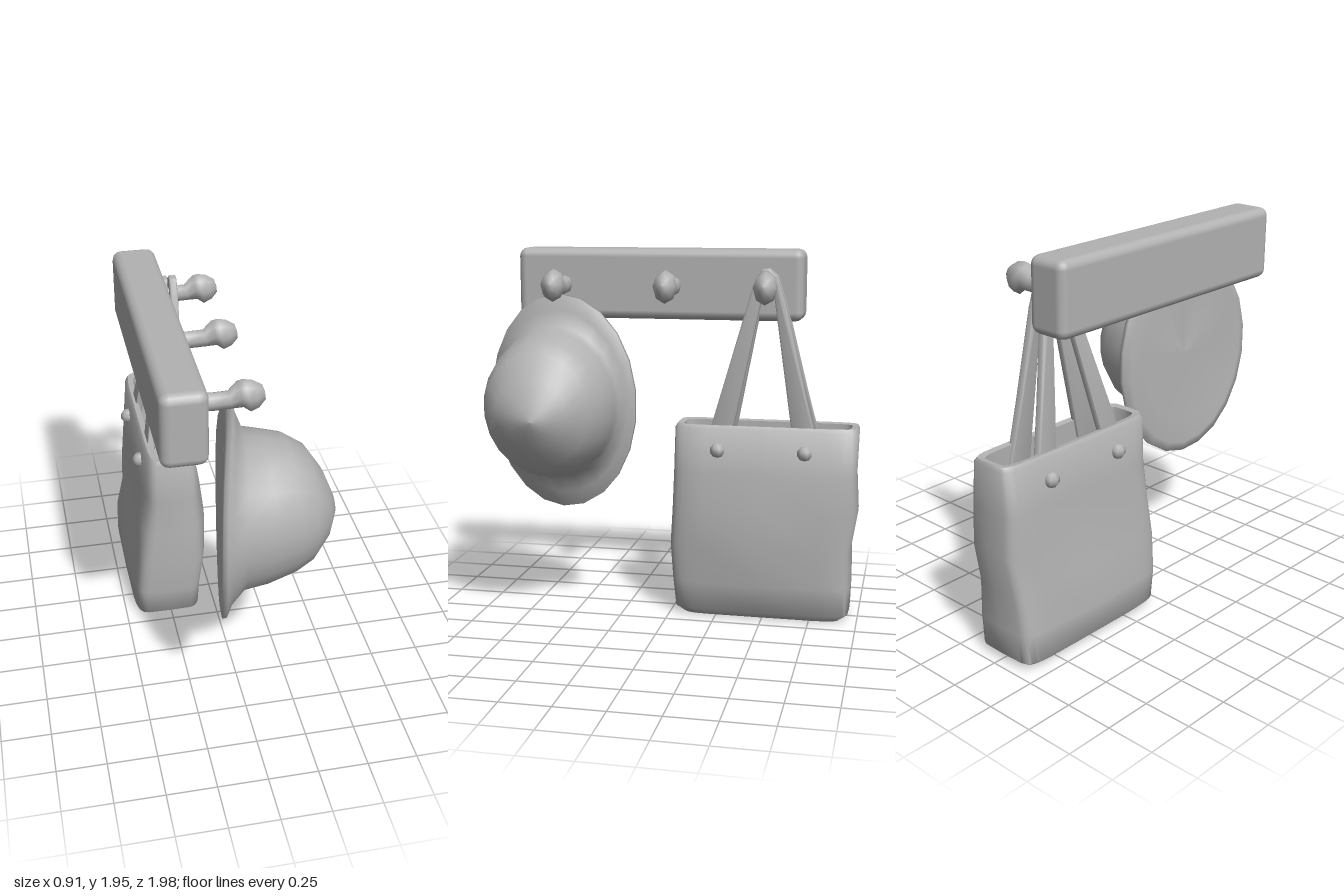
import * as THREE from 'three';
import { toCreasedNormals } from 'three/addons/utils/BufferGeometryUtils.js';
import { RoundedBoxGeometry } from 'three/addons/geometries/RoundedBoxGeometry.js';

const clay = new THREE.MeshStandardMaterial({ color: 0xb2b2b2, side: THREE.DoubleSide });
clay.name = 'grey clay';

function add(parent, name, geometry) {
  const mesh = new THREE.Mesh(geometry, clay);
  mesh.name = name;
  parent.add(mesh);
  return mesh;
}

// Skin a series of closed rings; point(ring, angle) gives [x, y, z]
function loft(rings, n, point) {
  const pos = [], idx = [];
  rings.forEach((ring, i) => {
    for (let j = 0; j < n; j++) {
      pos.push(...point(ring, (j / n) * Math.PI * 2));
      if (i === rings.length - 1) continue;
      const a = i * n + j, b = i * n + (j + 1) % n;
      idx.push(a, b, a + n, b, b + n, a + n);
    }
  });
  const g = new THREE.BufferGeometry();
  g.setAttribute('position', new THREE.Float32BufferAttribute(pos, 3));
  g.setIndex(idx);
  g.computeVertexNormals();
  return g;
}

// Signed power, for squarish rings
const sp = (v, p) => (Math.abs(v) < 1e-6 ? 0 : Math.sign(v) * Math.abs(v) ** p);

function makePeg() {
  // x, centre y, half height, half width
  const rings = [
    [-0.23, 1.77, 0.052, 0.042], [-0.14, 1.76, 0.045, 0.038], [-0.06, 1.762, 0.045, 0.038],
    [-0.015, 1.785, 0.068, 0.05], [0.015, 1.775, 0.084, 0.062], [0.055, 1.78, 0.07, 0.056],
    [0.092, 1.785, 0.038, 0.03], [0.098, 1.785, 0, 0],
  ];
  return loft(rings, 8, ([x, cy, ry, rz], t) =>
    [x - Math.cos(t) * ry * 0.2, cy + Math.cos(t) * ry, Math.sin(t) * rz]);
}

function makeHat() {
  // x, centre y, centre z, half height, half width, tilt along z
  const rings = [
    [-0.10, 1.16, 0.59, 0, 0, 0.12],
    [-0.10, 1.16, 0.59, 0.38, 0.30, 0.12],
    [-0.11, 1.155, 0.58, 0.52, 0.385, 0.16],
    [-0.098, 1.155, 0.578, 0.572, 0.42, 0.18],
    [-0.075, 1.155, 0.578, 0.57, 0.418, 0.18],
    [-0.055, 1.155, 0.585, 0.49, 0.385, 0.16],
    [-0.01, 1.16, 0.595, 0.405, 0.355, 0.1],
    [0.09, 1.16, 0.595, 0.385, 0.348, 0],
    [0.21, 1.163, 0.595, 0.35, 0.32, 0],
    [0.3, 1.165, 0.605, 0.292, 0.272, 0],
    [0.38, 1.16, 0.61, 0.175, 0.19, 0],
    [0.435, 1.14, 0.6, 0.06, 0.075, 0],
    [0.45, 1.13, 0.59, 0, 0, 0],
  ];
  return loft(rings, 22, ([x, cy, cz, ry, rz, tilt], t) => {
    const c = Math.cos(t), s = Math.sin(t);
    // The upper brim bends forward a little where it hangs
    const bend = tilt * 0.16 * Math.max(0, c) ** 3;
    return [x - tilt * rz * s + bend, cy + ry * c, cz + rz * s];
  });
}

function makeBag() {
  // y, back x, front x, far z, near z, belly
  const rings = [
    [0.012, -0.26, -0.26, -0.5, -0.5, 0],
    [0.012, -0.41, -0.12, -0.91, -0.07, 0],
    [0.05, -0.45, -0.075, -0.955, -0.025, 0.05],
    [0.2, -0.452, -0.055, -0.96, -0.01, 0.12],
    [0.4, -0.42, -0.025, -0.958, 0, 0.25],
    [0.6, -0.395, -0.03, -0.99, -0.01, 0.25],
    [0.8, -0.375, -0.055, -0.978, -0.016, 0.15],
    [1.03, -0.36, -0.1, -0.985, -0.02, 0],
    [1.05, -0.345, -0.115, -0.975, -0.03, 0],
    [1.045, -0.315, -0.145, -0.945, -0.06, 0],
    [0.6, -0.31, -0.14, -0.92, -0.08, 0],
    [0.58, -0.22, -0.22, -0.5, -0.5, 0],
  ];
  const g = loft(rings, 28, ([y, x0, x1, z0, z1, belly], t) => {
    const c = sp(Math.cos(t), 0.28), s = sp(Math.sin(t), 0.28);
    const pinch = s > 0 ? 1 - belly * c * c : 1;
    // Soft cloth folds
    const fold = belly * 0.05 * Math.sin(c * 5 + y * 7);
    return [(x0 + x1) / 2 + (x1 - x0) / 2 * s * pinch + fold * s, y, (z0 + z1) / 2 + (z1 - z0) / 2 * c];
  });
  return toCreasedNormals(g, 0.95);
}

// Looped strap whose x slides from its foot to the peg
function makeStrap(footX, topX) {
  const outline = [
    [0.19, 0.95], [0.335, 1.45], [0.43, 1.78], [0.475, 1.86], [0.51, 1.865], [0.55, 1.83],
    [0.6, 1.68], [0.7, 1.25], [0.775, 0.95], [0.65, 0.95], [0.55, 1.65], [0.53, 1.79],
    [0.49, 1.79], [0.46, 1.65], [0.315, 0.95],
  ].map(([s, y]) => new THREE.Vector2(s, y));
  const g = new THREE.ExtrudeGeometry(new THREE.Shape(outline), {
    depth: 0.024, bevelEnabled: true, bevelSize: 0.008, bevelOffset: -0.008, bevelThickness: 0.008, bevelSegments: 2,
  });
  g.translate(0, 0, -0.012).rotateY(Math.PI / 2);
  const p = g.attributes.position;
  for (let i = 0; i < p.count; i++) {
    p.setX(i, p.getX(i) + THREE.MathUtils.mapLinear(p.getY(i), 1.05, 1.86, footX, topX));
  }
  return toCreasedNormals(g, 0.8);
}

export function createModel() {
  const model = new THREE.Group();
  model.name = 'coatRack';

  // Wall rail with three pegs
  add(model, 'rail', new RoundedBoxGeometry(0.22, 0.37, 1.53, 2, 0.045)).position.set(-0.31, 1.773, 0.085);
  for (const z of [0.59, 0, -0.51]) add(model, 'peg', makePeg()).position.z = z;

  // Hanging hat
  add(model, 'hat', makeHat());

  // Tote bag with two straps and four studs
  const bag = new THREE.Group();
  bag.name = 'toteBag';
  model.add(bag);
  add(bag, 'bagBody', makeBag());
  add(bag, 'backStrap', makeStrap(-0.31, -0.18));
  add(bag, 'frontStrap', makeStrap(-0.145, -0.135));
  for (const x of [-0.372, -0.072]) {
    for (const z of [-0.26, -0.715]) {
      add(bag, 'stud', new THREE.SphereGeometry(0.04, 7, 5)).position.set(x, 0.925, z);
    }
  }
  return model;
}
